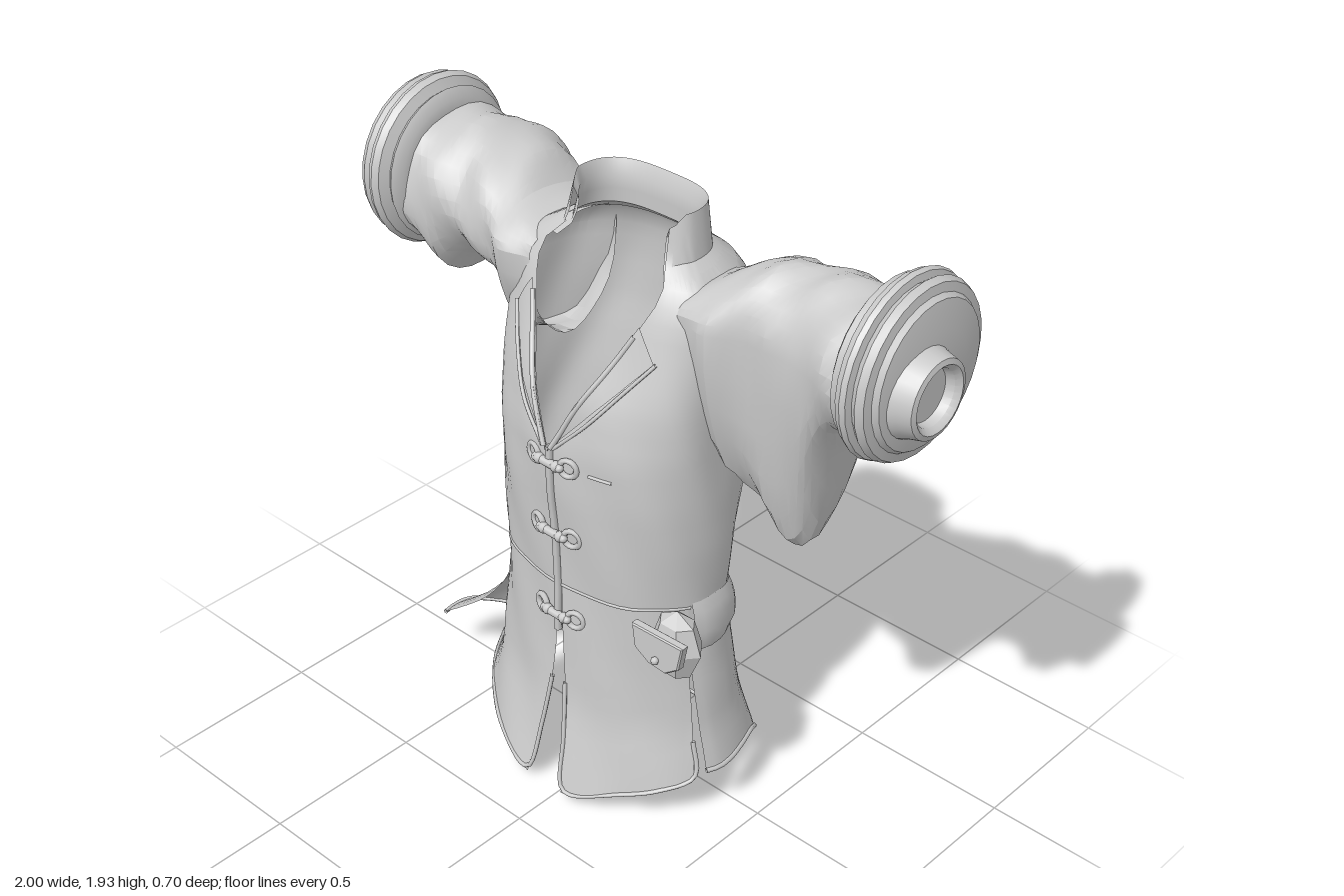
import * as THREE from 'three';
import { toCreasedNormals } from 'three/addons/utils/BufferGeometryUtils.js';

const cloth = new THREE.MeshStandardMaterial({ color: 0xcccccc, side: THREE.DoubleSide });
const { sin, cos, abs, sign, min, PI } = Math;
const lerp = THREE.MathUtils.lerp, smooth = THREE.MathUtils.smoothstep;

function add(parent, name, geometry, x = 0, y = 0, z = 0) {
  const mesh = new THREE.Mesh(geometry, cloth);
  mesh.name = name;
  mesh.position.set(x, y, z);
  parent.add(mesh);
  return mesh;
}

// Surface from a point rule p(u, v) -> [x, y, z]
function sheet(p, nu, nv, crease = 0.4) {
  const pos = [], idx = [];
  for (let j = 0; j <= nv; j++) for (let i = 0; i <= nu; i++) pos.push(...p(i / nu, j / nv));
  for (let j = 0; j < nv; j++) for (let i = 0; i < nu; i++) {
    const a = j * (nu + 1) + i, b = a + nu + 1;
    idx.push(a, a + 1, b, b, a + 1, b + 1);
  }
  const g = new THREE.BufferGeometry();
  g.setAttribute('position', new THREE.Float32BufferAttribute(pos, 3));
  g.setIndex(idx);
  return toCreasedNormals(g, crease);
}

// Interpolated row of a table keyed by its first column
function rowAt(rows, k) {
  let i = 0;
  while (i < rows.length - 2 && k > rows[i + 1][0]) i++;
  const t = THREE.MathUtils.clamp((k - rows[i][0]) / (rows[i + 1][0] - rows[i][0]), 0, 1);
  return rows[i].map((v, n) => lerp(v, rows[i + 1][n], t));
}

// Body sections: y, centre x, half width, front z, back z, half angle of the front opening
const BODY = [
  [0, -0.04, 0.46, 0.36, -0.28, 0.16], [0.15, -0.04, 0.44, 0.32, -0.245, 0.12],
  [0.3, -0.04, 0.4, 0.285, -0.215, 0.08], [0.5, -0.04, 0.375, 0.275, -0.18, 0.04],
  [0.72, -0.04, 0.36, 0.27, -0.14, 0.03], [0.9, -0.04, 0.37, 0.28, -0.18, 0.03],
  [1.05, -0.04, 0.37, 0.29, -0.22, 0.03], [1.2, -0.04, 0.365, 0.29, -0.255, 0.03],
  [1.35, -0.04, 0.36, 0.26, -0.28, 0.22], [1.5, -0.04, 0.355, 0.19, -0.28, 0.45],
  [1.6, -0.04, 0.35, 0.15, -0.27, 0.6], [1.67, -0.035, 0.32, 0.12, -0.25, 0.75],
  [1.71, -0.03, 0.26, 0.1, -0.2, 0.85], [1.73, -0.03, 0.225, 0.08, -0.17, 0.9],
  [1.86, -0.03, 0.2, 0.06, -0.165, 1.0],
];

// Point on the body at angle a (0 is the front, PI/2 is the model's left)
function bodyPoint(a, y, out = 0) {
  const [, cx, hx, zf, zb] = rowAt(BODY, y);
  const s = sin(a), c = cos(a), zc = min(0.04, zf - 0.1);
  const fold = 1 + 0.018 * sin(7 * a + 5 * y) * sin(9 * y + 2 * a) * smooth(1.75 - y, 0, 0.2);
  const x = cx + (hx * fold + out) * sign(s) * abs(s) ** (c < 0 ? 0.65 : 1);
  const z = c > 0 ? zc + (zf * fold - zc + out) * c : zc + (zb * fold - zc - out) * abs(c) ** 0.8;
  return [x, y, z];
}

// Sleeve from rows: x, top y, bottom y, front z, back z
function sleeve(rows, phase) {
  const first = rows[0][0], last = rows[rows.length - 1][0], dir = sign(last);
  const table = rows.map(([x, ...r]) => [x * dir, ...r]);
  return sheet((u, v) => {
    const x = lerp(first, last, v), a = u * 2 * PI;
    const [, top, bottom, zf, zb] = rowAt(table, x * dir);
    const mid = 1.62, c = cos(a);
    const fold = 1 + 0.045 * sin(34 * x + 3 * sin(a + phase)) * sin(3 * a + phase + 6 * x);
    const y = mid + (c > 0 ? top - mid : mid - bottom) * c * fold;
    return [x, y, (zf + zb) / 2 + (zf - zb) / 2 * sin(a) * fold];
  }, 28, 22, 0.35);
}

function tube(points, r, seg = 24) {
  const curve = new THREE.CatmullRomCurve3(points.map(p => new THREE.Vector3(...p)));
  return new THREE.TubeGeometry(curve, seg, r, 6);
}

function makeCuff(side) {
  const cuff = new THREE.Group();
  cuff.name = side > 0 ? 'leftCuff' : 'rightCuff';
  const turn = profile => new THREE.LatheGeometry(profile.map(p => new THREE.Vector2(...p)), 28);
  // Rolled folds of cloth and the small wrist opening
  const rolls = turn([[0.16, 0], [0.2, 0], [0.23, 0.02], [0.22, 0.035], [0.25, 0.05], [0.26, 0.07],
    [0.255, 0.085], [0.235, 0.09], [0.25, 0.11], [0.24, 0.13], [0.215, 0.135], [0.205, 0.15], [0.13, 0.165], [0, 0.165]]);
  const wrist = turn([[0.135, 0.14], [0.12, 0.175], [0.11, 0.215], [0.095, 0.22], [0.08, 0.205], [0.075, 0.18], [0, 0.18]]);
  add(cuff, 'cuffRolls', toCreasedNormals(rolls, 0.6));
  add(cuff, 'wristOpening', toCreasedNormals(wrist, 0.6), side * 0.02, 0, 0.05);
  cuff.rotation.z = -side * PI / 2;
  cuff.position.set(side * 0.78, 1.665, -0.07);
  return cuff;
}

function makeToggle(y) {
  const toggle = new THREE.Group();
  toggle.name = 'toggle';
  for (const s of [-1, 1]) {
    const loop = add(toggle, 'cordLoop', new THREE.TorusGeometry(0.026, 0.009, 6, 14), s * 0.065, 0, -0.008);
    loop.rotation.y = s * 0.3;
    add(toggle, 'cordKnot', new THREE.SphereGeometry(0.017, 8, 6), s * 0.032, 0, 0.006);
  }
  const bar = add(toggle, 'toggleBar', new THREE.CapsuleGeometry(0.013, 0.09, 3, 8), 0, 0, 0.006);
  bar.rotation.z = PI / 2;
  toggle.position.set(-0.04, y, rowAt(BODY, y)[3] + 0.012);
  return toggle;
}

export function createModel() {
  const coat = new THREE.Group();
  coat.name = 'coat';

  // Torso up to the neck, open in a V at the front
  add(coat, 'torso', sheet((u, v) => {
    const y = v < 0.5 ? lerp(0.72, 1.2, v * 2) : lerp(1.2, 1.73, v * 2 - 1);
    const g = rowAt(BODY, y)[5];
    return bodyPoint(lerp(g, 2 * PI - g, u), y, 0.006);
  }, 56, 24));

  // Standing collar, a folded-over double layer
  add(coat, 'collar', sheet((u, v) => {
    const rise = min(v, 1 - v) * 2, inner = v > 0.5 ? -0.018 : 0.004;
    const front = smooth(abs(u - 0.5), 0.42, 0.5);
    const y = lerp(1.69, 1.86 - 0.035 * front, rise), g = rowAt(BODY, y)[5];
    return bodyPoint(lerp(g, 2 * PI - g, u), y, inner);
  }, 40, 8, 0.6));

  // Lapels and front edges, mirrored
  for (const s of [1, -1]) {
    add(coat, s > 0 ? 'leftLapel' : 'rightLapel', sheet((u, v) => {
      const y = lerp(1.19, 1.59 - 0.09 * u, v);
      return bodyPoint(s * (rowAt(BODY, y)[5] + 0.33 * u * v - 0.02), y, 0.022 - 0.008 * u);
    }, 4, 10));
    const edge = [];
    for (let y = 1.56; y > 1.18; y -= 0.06) edge.push(bodyPoint(s * rowAt(BODY, y)[5], y, 0.018));
    add(coat, 'lapelPiping', tube(edge, 0.008));
    const notch = [[0.02, 1.2], [0.15, 1.3], [0.24, 1.4], [0.33, 1.5]]
      .map(([w, y]) => bodyPoint(s * (rowAt(BODY, y)[5] + w), y, 0.016));
    add(coat, 'lapelEdge', tube(notch, 0.006));
  }
  const seam = [];
  for (let y = 0.56; y < 1.22; y += 0.08) seam.push(bodyPoint(0, y, 0.008));
  add(coat, 'frontSeam', tube(seam, 0.012));

  // Front skirt panels, cut to a point at the middle
  for (const s of [1, -1]) {
    const panel = (u, v) => {
      const hem = 0.02 + 0.13 * u, y = lerp(0.73, hem, v);
      return bodyPoint(s * lerp(rowAt(BODY, y)[5], 1.27 - 0.07 * v * v, u), y, 0.004);
    };
    add(coat, s > 0 ? 'leftFrontPanel' : 'rightFrontPanel', sheet(panel, 12, 12));
    const rim = [panel(0, 0.5), panel(0, 0.75), panel(0, 0.97), panel(0.06, 1), panel(0.4, 1), panel(0.7, 1), panel(1, 1), panel(1, 0.8)];
    add(coat, 'panelHem', tube(rim, 0.007, 40));
  }

  // Back skirt panel with the right side swept outwards
  const back = (u, v) => {
    const a = lerp(1.27 + 0.05 * v, 2 * PI - 1.27 - 0.05 * v, u);
    const side = smooth(abs(a - PI), 0.25, 1.1), y = lerp(0.73, 0.165 * side, v);
    const p = bodyPoint(a, y, 0.004);
    const sweep = smooth(a, PI + 0.9, PI * 1.5);
    p[0] -= 0.26 * sweep * THREE.MathUtils.clamp((0.58 - y) / 0.42, 0, 1) ** 1.8;
    return p;
  };
  add(coat, 'backPanel', sheet(back, 36, 14));
  add(coat, 'backHem', tube(Array.from({ length: 25 }, (_, i) => back(i / 24, 1)), 0.008, 60));

  // Waist band across the back and a fine seam at the front
  add(coat, 'waistBand', sheet((u, v) =>
    bodyPoint(lerp(1.3, 2 * PI - 1.3, u), lerp(0.57, 0.735, v), 0.008 + 0.016 * sin(PI * v) ** 0.5), 30, 5));
  add(coat, 'waistSeam', tube(Array.from({ length: 21 }, (_, i) =>
    bodyPoint(lerp(-1.3, 1.3, i / 20), 0.72, 0.004)), 0.006, 50));

  // Sleeves, the left one hanging in a long point
  add(coat, 'leftSleeve', sleeve([
    [0.24, 1.69, 1.3, 0.1, -0.22], [0.34, 1.75, 1.15, 0.11, -0.23], [0.45, 1.8, 1.02, 0.07, -0.26],
    [0.55, 1.8, 0.93, 0.06, -0.27], [0.6, 1.81, 1.0, 0.07, -0.28], [0.68, 1.81, 1.37, 0.09, -0.28],
    [0.72, 1.81, 1.43, 0.11, -0.28], [0.83, 1.83, 1.43, 0.13, -0.28]], 0.6));
  add(coat, 'rightSleeve', sleeve([
    [-0.28, 1.69, 1.32, 0.13, -0.23], [-0.4, 1.72, 1.3, 0.14, -0.26], [-0.47, 1.78, 1.42, 0.11, -0.3],
    [-0.6, 1.82, 1.46, 0.1, -0.34], [-0.66, 1.83, 1.42, 0.11, -0.33], [-0.71, 1.83, 1.35, 0.12, -0.31],
    [-0.78, 1.84, 1.43, 0.13, -0.3], [-0.83, 1.85, 1.43, 0.13, -0.29]], 2.1));
  coat.add(makeCuff(1), makeCuff(-1));

  // Toggle fastenings and a small chest slit
  for (const y of [1.15, 0.91, 0.62]) coat.add(makeToggle(y));
  add(coat, 'pocketSlit', tube([0.35, 0.45, 0.55].map(a => bodyPoint(a, 1.145, 0.008)), 0.005, 8));

  // Faceted pouch with a flap and stud
  const pouch = new THREE.Group();
  pouch.name = 'pouch';
  const bag = new THREE.LatheGeometry([[0, -0.115], [0.05, -0.09], [0.088, 0], [0.06, 0.08], [0, 0.115]]
    .map(p => new THREE.Vector2(...p)), 6, PI / 6);
  bag.scale(1, 1, 0.72);
  add(pouch, 'pouchBag', toCreasedNormals(bag, 0.1), 0, 0, 0.225);
  const flap = new THREE.Shape([[-0.09, 0.07], [0.09, 0.075], [0.075, 0], [0.03, -0.035], [-0.03, -0.03], [-0.08, 0]]
    .map(p => new THREE.Vector2(...p)));
  add(pouch, 'pouchFlap', new THREE.ExtrudeGeometry(flap, { depth: 0.02, bevelSize: 0.004, bevelThickness: 0.004, bevelSegments: 1 }), 0, 0, 0.286);
  add(pouch, 'pouchStud', new THREE.SphereGeometry(0.012, 8, 6), 0, -0.005, 0.316);
  pouch.position.set(0.37, 0.69, 0);
  coat.add(pouch);
  return coat;
}
